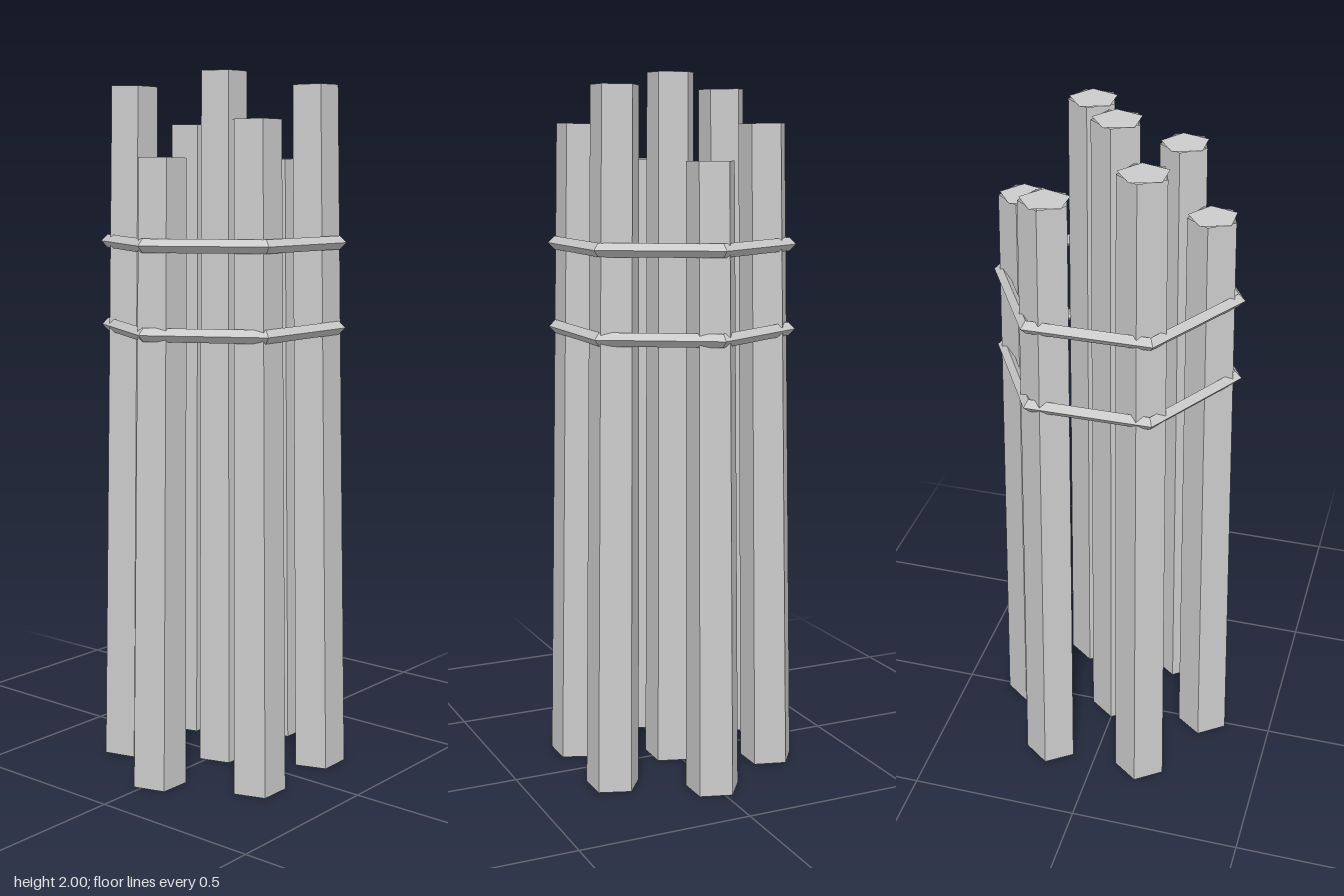
import * as THREE from 'three';

export function createModel() {
  const group = new THREE.Group();
  const grey = new THREE.MeshStandardMaterial({ color: 0xcccccc, flatShading: true, side: THREE.DoubleSide });
  grey.name = 'light grey';
  const body = new THREE.Group();
  body.name = 'postBundle';
  body.position.z = 0.0075;
  group.add(body);

  const add = (parent, name, geometry) => {
    const mesh = new THREE.Mesh(geometry, grey);
    mesh.name = name;
    parent.add(mesh);
    return mesh;
  };

  // Tapered five-sided post, open underneath, with a flat cap turned against the walls
  const TOP = 0.069, BASE = 0.079;
  function addPost(name, height, x, z, lean) {
    const post = new THREE.Group();
    post.name = name;
    const wall = new THREE.CylinderGeometry(TOP, BASE, height, 5, 1, true, Math.PI);
    add(post, 'postWall', wall.translate(0, height / 2, 0));
    const cap = new THREE.CircleGeometry(TOP, 5).rotateX(-Math.PI / 2);
    add(post, 'postCap', cap.translate(0, height, 0));
    post.position.set(x, 0, z);
    // Lean towards the middle
    const axis = new THREE.Vector3(-x, 0, -z).normalize().multiplyScalar(Math.sin(lean));
    axis.y = Math.cos(lean);
    post.quaternion.setFromUnitVectors(new THREE.Vector3(0, 1, 0), axis);
    body.add(post);
  }

  addPost('centrePost', 2, 0, 0, 0);
  const heights = [1.76, 1.96, 1.86];
  for (let i = 0; i < 6; i++) {
    const a = (i * Math.PI) / 3;
    addPost('outerPost' + (i + 1), heights[i % 3], 0.2865 * Math.cos(a), 0.2865 * Math.sin(a), 0.0158);
  }

  // Two hexagonal binding hoops with a diamond section
  for (const [name, y] of [['lowerHoop', 1.286], ['upperHoop', 1.526]]) {
    const hoop = new THREE.TorusGeometry(0.335, 0.019, 4, 6).rotateX(-Math.PI / 2);
    add(body, name, hoop).position.y = y;
  }
  return group;
}
